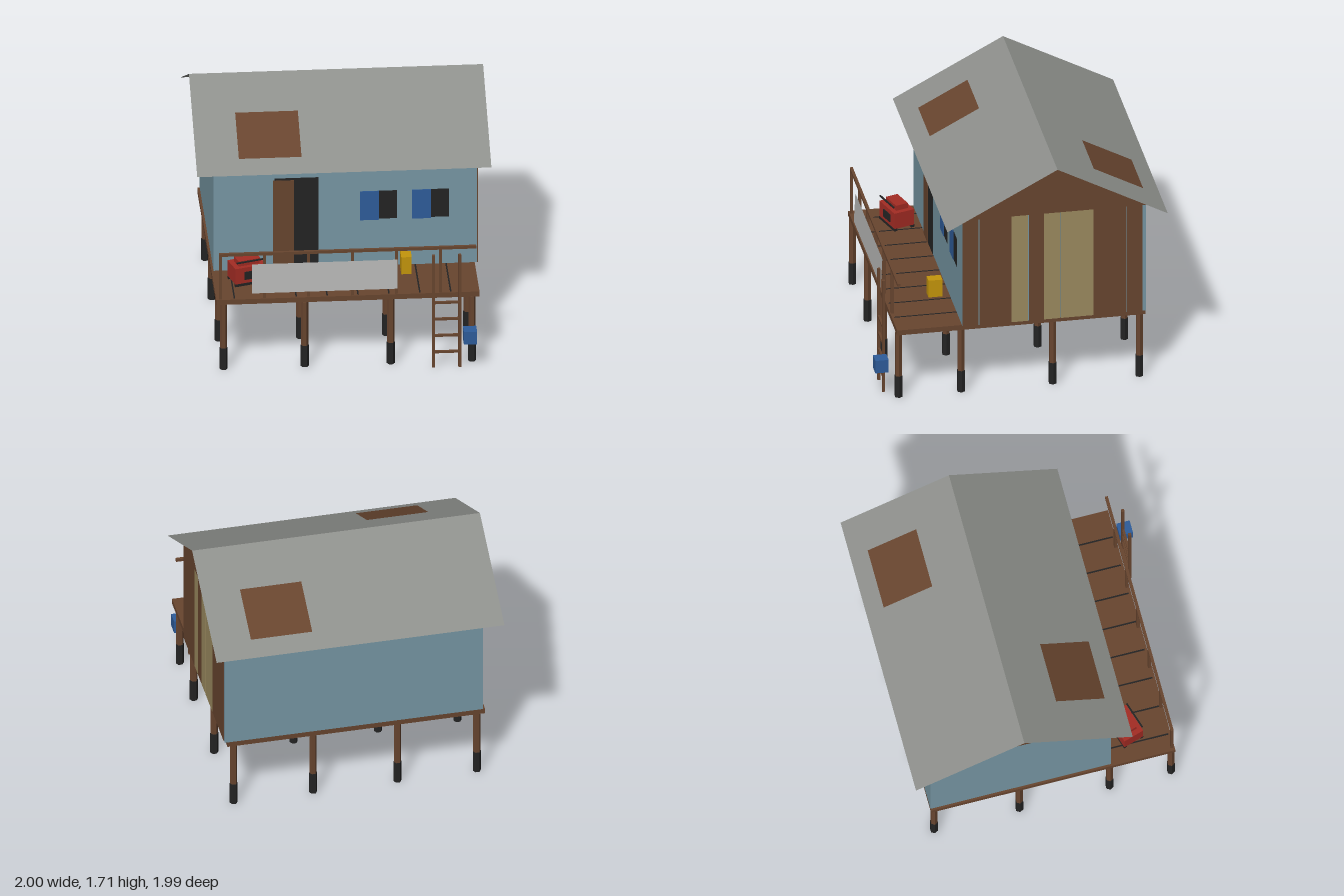
import * as THREE from 'three';

const mat = (name, color, side = THREE.FrontSide) => {
  const m = new THREE.MeshStandardMaterial({ color, side });
  m.name = name;
  return m;
};

export function createModel() {
  const model = new THREE.Group();
  model.name = 'stiltHouse';

  const wood = mat('brown wood', 0x68452f);
  const black = mat('black', 0x242424);
  const paint = mat('faded blue paint', 0x7797a4);
  const tin = mat('grey roofing', 0x8e908c, THREE.DoubleSide);
  const cream = mat('pale board', 0x9c8b60);
  const blue = mat('blue', 0x2e5c9a);
  const red = mat('red', 0xa42c24);
  const yellow = mat('yellow', 0xc4960c);
  const cloth = mat('light grey sheet', 0xb9b9b7, THREE.DoubleSide);

  const add = (name, geometry, material, parent = model) => {
    const mesh = new THREE.Mesh(geometry, material);
    mesh.name = name;
    parent.add(mesh);
    return mesh;
  };
  // Box given by its extents on each axis
  const box = (name, material, [x0, x1], [y0, y1], [z0, z1], parent = model) => {
    const mesh = add(name, new THREE.BoxGeometry(x1 - x0, y1 - y0, z1 - z0), material, parent);
    mesh.position.set((x0 + x1) / 2, (y0 + y1) / 2, (z0 + z1) / 2);
    return mesh;
  };

  // Stilts: hexagonal posts with black feet
  const postGeo = new THREE.CylinderGeometry(0.025, 0.025, 0.33, 6).rotateY(Math.PI / 6).toNonIndexed();
  const footGeo = new THREE.CylinderGeometry(0.028, 0.028, 0.16, 6).rotateY(Math.PI / 6).toNonIndexed();
  postGeo.computeVertexNormals();
  footGeo.computeVertexNormals();
  for (const x of [-0.845, -0.293, 0.293, 0.845]) {
    for (const z of [0.828, 0.397, -0.235, -0.833]) {
      add('stilt', postGeo, wood).position.set(x, 0.325, z);
      add('stiltFoot', footGeo, black).position.set(x, 0.08, z);
    }
  }

  // Deck with dark plank gaps
  box('deck', wood, [-0.895, 0.895], [0.49, 0.527], [-0.867, 0.847]);
  for (let i = 0; i < 8; i++) {
    const x = -0.77 + i * 0.21;
    box('plankGap', black, [x - 0.005, x + 0.005], [0.525, 0.529], [0.4, 0.83]);
  }

  // House body and gabled top
  const front = 0.4, back = -0.867, eave = 1.335;
  box('walls', paint, [-0.88, 0.913], [0.527, eave], [back, front]);
  const gable = new THREE.Shape([
    new THREE.Vector2(-front, eave),
    new THREE.Vector2(-back, eave),
    new THREE.Vector2(0.235, 1.685),
  ]);
  const gableGeo = new THREE.ExtrudeGeometry(gable, { depth: 1.797, bevelEnabled: false });
  add('gable', gableGeo.rotateY(Math.PI / 2).translate(-0.88, 0, 0), wood);

  // Boards on the left end wall, with narrow gaps between them
  const boards = [
    [0.4, 0.289, wood], [0.282, 0.061, wood], [0.061, -0.051, cream], [-0.058, -0.163, wood],
    [-0.163, -0.271, cream], [-0.278, -0.505, cream], [-0.505, -0.727, wood], [-0.731, -0.843, wood],
  ];
  for (const [z1, z0, m] of boards) {
    box('wallBoard', m, [0.911, 0.917], [0.527, eave], [z0, z1]);
  }

  // Roof sheets and wooden patches, mirrored about the ridge
  const ridgeZ = -0.24, ridgeY = 1.705, run = 0.76, drop = 0.405;
  const slopeQuad = (x0, x1, a, b, s, lift) => {
    const p = (x, d) => [x, ridgeY - (d * drop) / run + lift, ridgeZ + s * d];
    const corners = [p(x0, a), p(x0, b), p(x1, b), p(x1, a)];
    const g = new THREE.BufferGeometry();
    g.setAttribute('position', new THREE.Float32BufferAttribute(corners.flat(), 3));
    g.setIndex(s > 0 ? [0, 1, 2, 0, 2, 3] : [0, 2, 1, 0, 3, 2]);
    g.computeVertexNormals();
    return g;
  };
  for (const s of [1, -1]) {
    add('roofSheet', slopeQuad(-1, 1, 0, run, s, 0), tin);
    const cx = s > 0 ? -0.495 : 0.522;
    add('roofPatch', slopeQuad(cx - 0.213, cx + 0.213, 0.3, 0.64, s, 0.004), wood);
  }

  // Doorway with a half-open leaf, and two shuttered windows
  box('doorway', black, [-0.467, -0.168], [0.528, 1.21], [front, front + 0.003]);
  box('doorLeaf', wood, [-0.477, -0.333], [0.528, 1.195], [front, front + 0.006]);
  for (const x of [0.115, 0.469]) {
    box('shutter', blue, [x, x + 0.13], [0.875, 1.092], [front, front + 0.006]);
    box('windowOpening', black, [x + 0.12, x + 0.252], [0.882, 1.092], [front, front + 0.003]);
  }

  // Railing
  box('handrail', wood, [-0.875, 0.873], [0.85, 0.87], [0.82, 0.84]);
  for (let i = 0; i < 6; i++) {
    const x = -0.865 + i * 0.299;
    box('railPost', wood, [x - 0.01, x + 0.01], [0.527, 0.86], [0.82, 0.84]);
  }

  // Sheet hung on the railing
  const sheet = add('hangingSheet', new THREE.PlaneGeometry(0.987, 0.215), cloth);
  sheet.position.set(-0.158, 0.68, 0.849);
  sheet.rotation.x = -0.05;

  // Ladder
  const ladder = new THREE.Group();
  ladder.name = 'ladder';
  model.add(ladder);
  for (const x of [0.577, 0.755]) {
    box('ladderSide', wood, [x - 0.01, x + 0.01], [0, 0.847], [0.905, 0.925], ladder);
  }
  for (let i = 0; i < 4; i++) {
    const y = 0.115 + i * 0.124;
    box('rung', wood, [0.577, 0.755], [y - 0.008, y + 0.008], [0.907, 0.923], ladder);
  }

  // Generator on the porch
  const generator = new THREE.Group();
  generator.name = 'generator';
  generator.position.set(-0.667, 0, 0.555);
  generator.rotation.y = 0.3;
  model.add(generator);
  box('generatorBody', red, [-0.11, 0.11], [0.545, 0.662], [-0.075, 0.075], generator);
  box('generatorTank', red, [-0.075, 0.075], [0.66, 0.7], [-0.045, 0.045], generator);
  box('generatorGrille', black, [-0.045, 0.05], [0.572, 0.63], [0.074, 0.081], generator);
  box('generatorHandle', black, [-0.1, 0.1], [0.7, 0.709], [0.07, 0.08], generator);
  for (const z of [-0.065, 0.065]) {
    box('generatorSkid', black, [-0.11, 0.11], [0.527, 0.546], [z - 0.012, z + 0.012], generator);
  }

  // Fuel can on the porch and a crate by the ladder
  box('fuelCan', yellow, [0.385, 0.456], [0.527, 0.655], [0.452, 0.548]);
  box('crate', blue, [0.778, 0.868], [0.2, 0.295], [0.9, 0.992]);

  return model;
}
